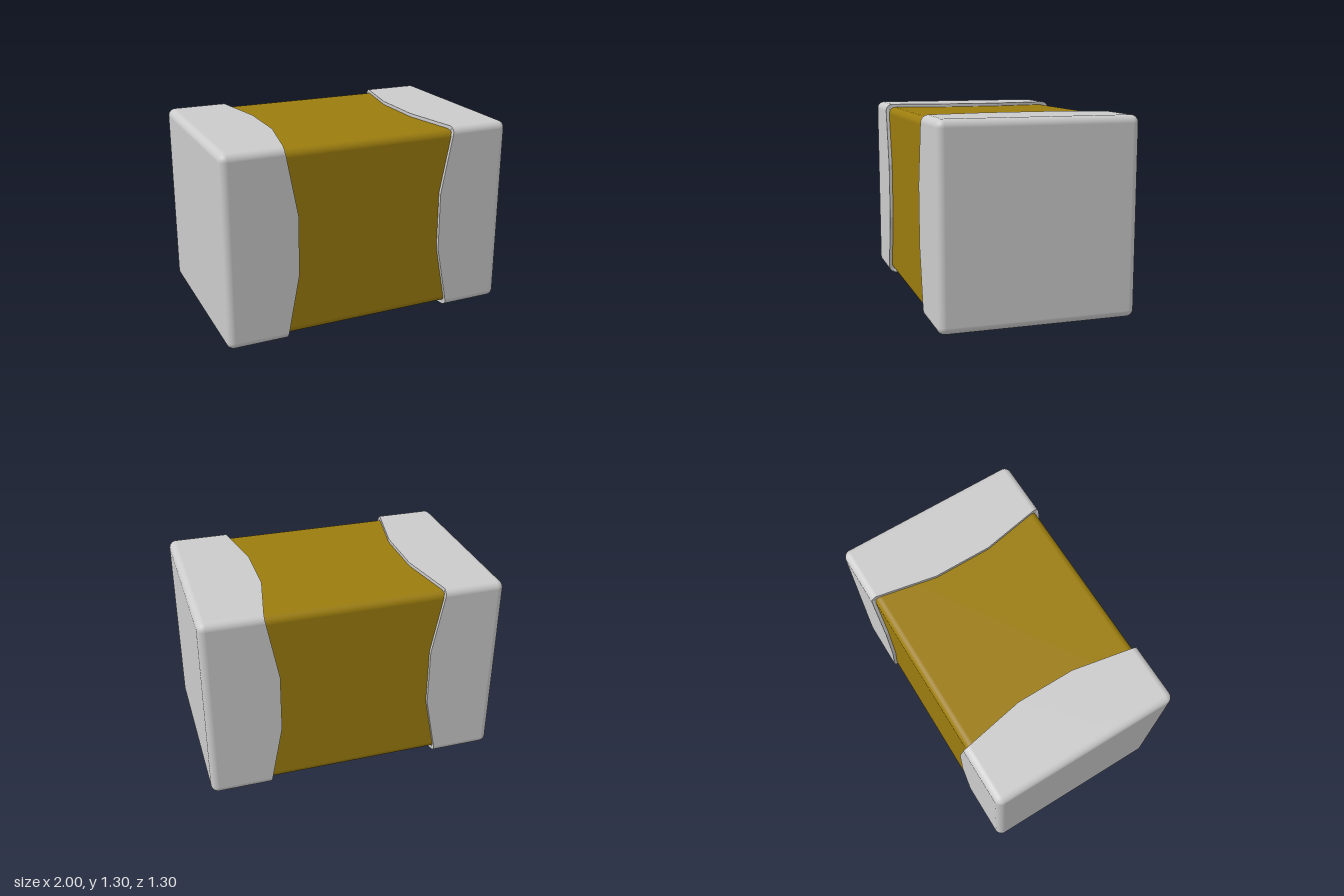
import * as THREE from 'three';
import { RoundedBoxGeometry } from 'three/addons/geometries/RoundedBoxGeometry.js';

const HALF = 0.65, R = 0.05, CORE = HALF - R, ARC = 8;

// Rounded-square outline in the y/z plane: core point plus outward direction
function outline() {
  const pts = [];
  for (let k = 0; k < 4; k++) {
    const mid = (k + 0.5) * Math.PI / 2;
    const cy = CORE * Math.sign(Math.cos(mid)), cz = CORE * Math.sign(Math.sin(mid));
    for (let i = 0; i <= ARC; i++) {
      const a = (k + i / ARC) * Math.PI / 2;
      pts.push({ cy, cz, dy: Math.cos(a), dz: Math.sin(a) });
    }
    // two breakpoints of the tongue on the following flat side
    const a = (k + 1) * Math.PI / 2, dy = Math.cos(a), dz = Math.sin(a);
    for (const t of [-0.2, 0.2]) {
      pts.push({ cy: CORE * dy - t * dz, cz: CORE * dz + t * dy, dy, dz });
    }
  }
  return pts;
}

// The cap reaches furthest inward at the middle of each side
function edgeX(p) {
  const y = Math.abs(p.cy + R * p.dy), z = Math.abs(p.cz + R * p.dz);
  return 0.51 + 0.08 * THREE.MathUtils.clamp((Math.min(y, z) - 0.2) / 0.42, 0, 1);
}

function makeGeometry(pos, index, normal) {
  const g = new THREE.BufferGeometry();
  g.setAttribute('position', new THREE.Float32BufferAttribute(pos, 3));
  if (normal) g.setAttribute('normal', new THREE.Float32BufferAttribute(normal, 3));
  g.setIndex(index);
  return g;
}

// Outer skin: sides, rounded rim and flat end
function capSkin(pts) {
  const pos = [], nor = [], idx = [], n = pts.length;
  for (let i = -1; i <= ARC; i++) {
    const a = Math.max(i, 0) / ARC * Math.PI / 2, c = Math.cos(a), s = Math.sin(a);
    for (const p of pts) {
      const x = i < 0 ? edgeX(p) : 1 - R + R * s;
      pos.push(x, p.cy + R * c * p.dy, p.cz + R * c * p.dz);
      nor.push(s, c * p.dy, c * p.dz);
    }
  }
  for (let i = 0; i <= ARC; i++) for (let j = 0; j < n; j++) {
    const k = (j + 1) % n, a = i * n + j, b = i * n + k;
    idx.push(a, b, a + n, b, b + n, a + n);
  }
  const last = (ARC + 1) * n, centre = pos.length / 3;
  pos.push(1, 0, 0);
  nor.push(1, 0, 0);
  for (let j = 0; j < n; j++) idx.push(centre, last + j, last + (j + 1) % n);
  return makeGeometry(pos, idx, nor);
}

// Thin step from the cap edge down into the body
function capLip(pts) {
  const pos = [], idx = [], n = pts.length;
  for (const r of [R, 0.01]) for (const p of pts) {
    pos.push(edgeX(p), p.cy + r * p.dy, p.cz + r * p.dz);
  }
  for (let j = 0; j < n; j++) {
    const k = (j + 1) % n;
    idx.push(j, j + n, k, k, j + n, k + n);
  }
  const g = makeGeometry(pos, idx).toNonIndexed();
  g.computeVertexNormals();
  return g;
}

export function createModel() {
  const model = new THREE.Group();
  model.name = 'chipCapacitor';
  const bodyMat = new THREE.MeshStandardMaterial({ color: 0x9b7c0e });
  const capMat = new THREE.MeshStandardMaterial({ color: 0xcccccc });

  const add = (parent, name, geometry, material) => {
    const mesh = new THREE.Mesh(geometry, material);
    mesh.name = name;
    parent.add(mesh);
    return mesh;
  };

  // Ceramic body
  add(model, 'body', new RoundedBoxGeometry(1.9, 1.254, 1.254, 5, R), bodyMat).position.y = HALF;

  // Metal end caps
  const pts = outline();
  const skin = capSkin(pts), lip = capLip(pts);
  for (const [name, turn] of [['leftCap', 0], ['rightCap', Math.PI]]) {
    const cap = new THREE.Group();
    cap.name = name;
    add(cap, name + 'Skin', skin, capMat);
    add(cap, name + 'Lip', lip, capMat);
    cap.rotation.y = turn;
    cap.position.y = HALF;
    model.add(cap);
  }
  return model;
}
